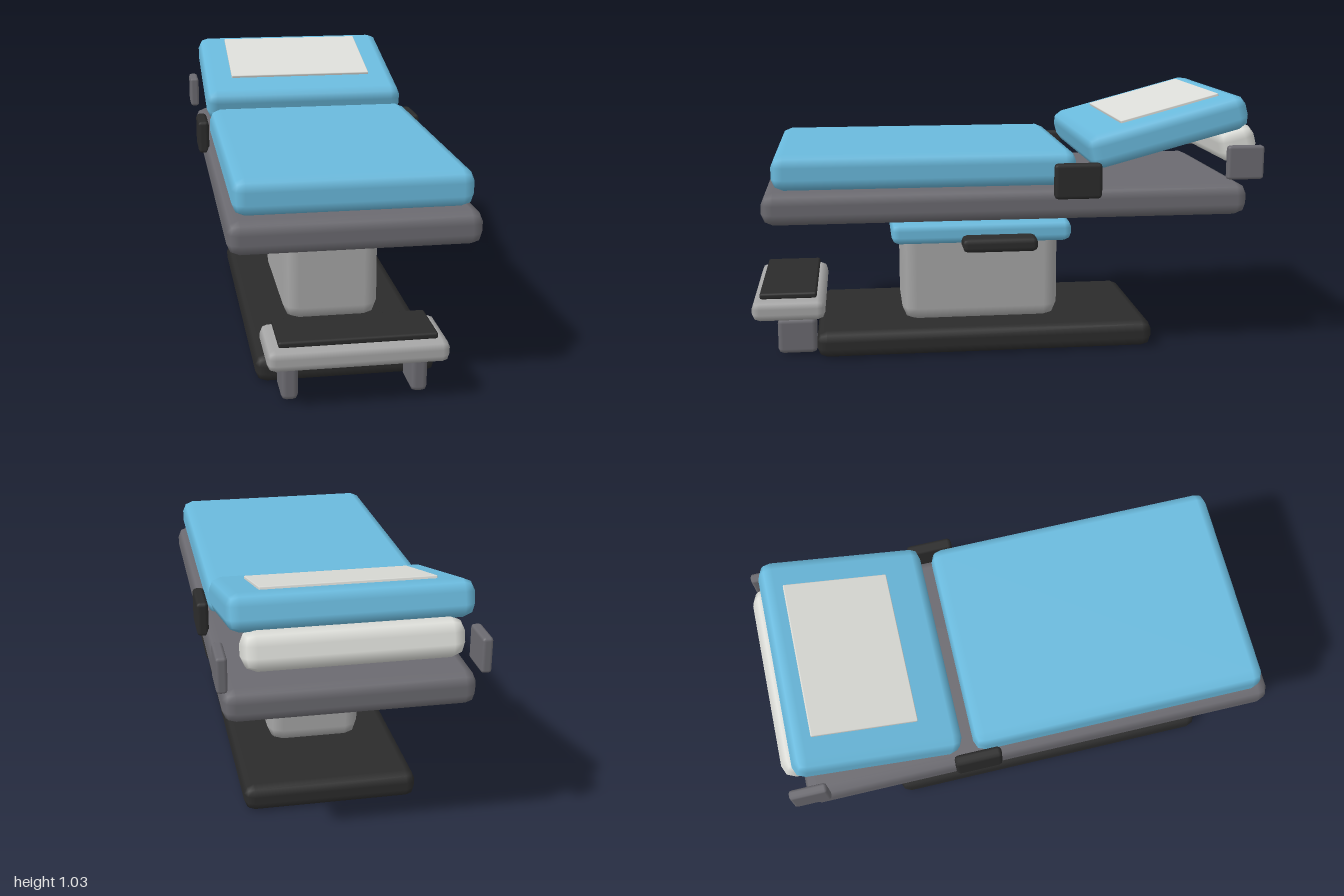
import * as THREE from 'three';
import { RoundedBoxGeometry } from 'three/addons/geometries/RoundedBoxGeometry.js';

const material = (name, color) => {
  const m = new THREE.MeshStandardMaterial({ color });
  m.name = name;
  return m;
};

export function createModel() {
  const model = new THREE.Group();
  model.name = 'treatmentTable';

  const blue = material('blueUpholstery', 0x6abadd);
  const pale = material('paleCover', 0xdcddd8);
  const grey = material('lightGreyMetal', 0xa6a6a6);
  const dark = material('darkGreyMetal', 0x6b6a70);
  const black = material('blackPlastic', 0x2b2b2b);

  // Softly bevelled block given by its [min, max] extents on each axis
  function block(name, mat, [x0, x1], [y0, y1], [z0, z1], radius, parent = model) {
    const geometry = new RoundedBoxGeometry(x1 - x0, y1 - y0, z1 - z0, 1, radius);
    const mesh = new THREE.Mesh(geometry, mat);
    mesh.name = name;
    mesh.position.set((x0 + x1) / 2, (y0 + y1) / 2, (z0 + z1) / 2);
    parent.add(mesh);
    return mesh;
  }

  // Same block on both sides of the model
  function pair(name, mat, [x0, x1], y, z, radius) {
    block(name + 'Left', mat, [x0, x1], y, z, radius);
    block(name + 'Right', mat, [-x1, -x0], y, z, radius);
  }

  // Base and lifting column
  block('base', black, [-0.34, 0.34], [0, 0.107], [-0.6, 0.75], 0.04);
  block('column', grey, [-0.19, 0.19], [0.09, 0.535], [-0.235, 0.405], 0.06);
  block('columnCollar', blue, [-0.245, 0.245], [0.43, 0.515], [-0.28, 0.447], 0.03);
  block('footControl', black, [0.322, 0.426], [0.435, 0.49], [-0.115, 0.178], 0.02);

  // Step at the foot end
  block('step', grey, [-0.325, 0.325], [0.155, 0.237], [0.715, 1], 0.03);
  block('stepMat', black, [-0.284, 0.284], [0.238, 0.262], [0.747, 0.97], 0.009);
  pair('stepLeg', dark, [0.205, 0.267], [0.005, 0.15], [0.75, 0.905], 0.02);

  // Table frame and seat cushion
  block('tableFrame', dark, [-0.45, 0.45], [0.562, 0.687], [-0.94, 0.94], 0.045);
  block('seatCushion', blue, [-0.426, 0.426], [0.69, 0.826], [-0.265, 0.9], 0.045);

  // Raised backrest with its paper cover
  const backrest = new THREE.Group();
  backrest.name = 'backrest';
  backrest.position.set(0, 0.89, -0.625);
  backrest.rotation.x = 0.26;
  model.add(backrest);
  block('backCushion', blue, [-0.429, 0.429], [-0.0675, 0.0675], [-0.322, 0.322], 0.045, backrest);
  block('backCover', pale, [-0.309, 0.309], [0.06, 0.078], [-0.247, 0.157], 0.004, backrest);

  // Head roll behind the backrest
  const roll = block('headRoll', pale, [-0.385, 0.385], [0.763, 0.903], [-0.993, -0.843], 0.05);
  roll.rotation.x = 0.26;

  // Side brackets and hinge covers
  pair('headBracket', dark, [0.436, 0.475], [0.71, 0.842], [-0.987, -0.842], 0.012);
  pair('hingeCover', black, [0.433, 0.478], [0.648, 0.785], [-0.352, -0.168], 0.015);

  return model;
}
